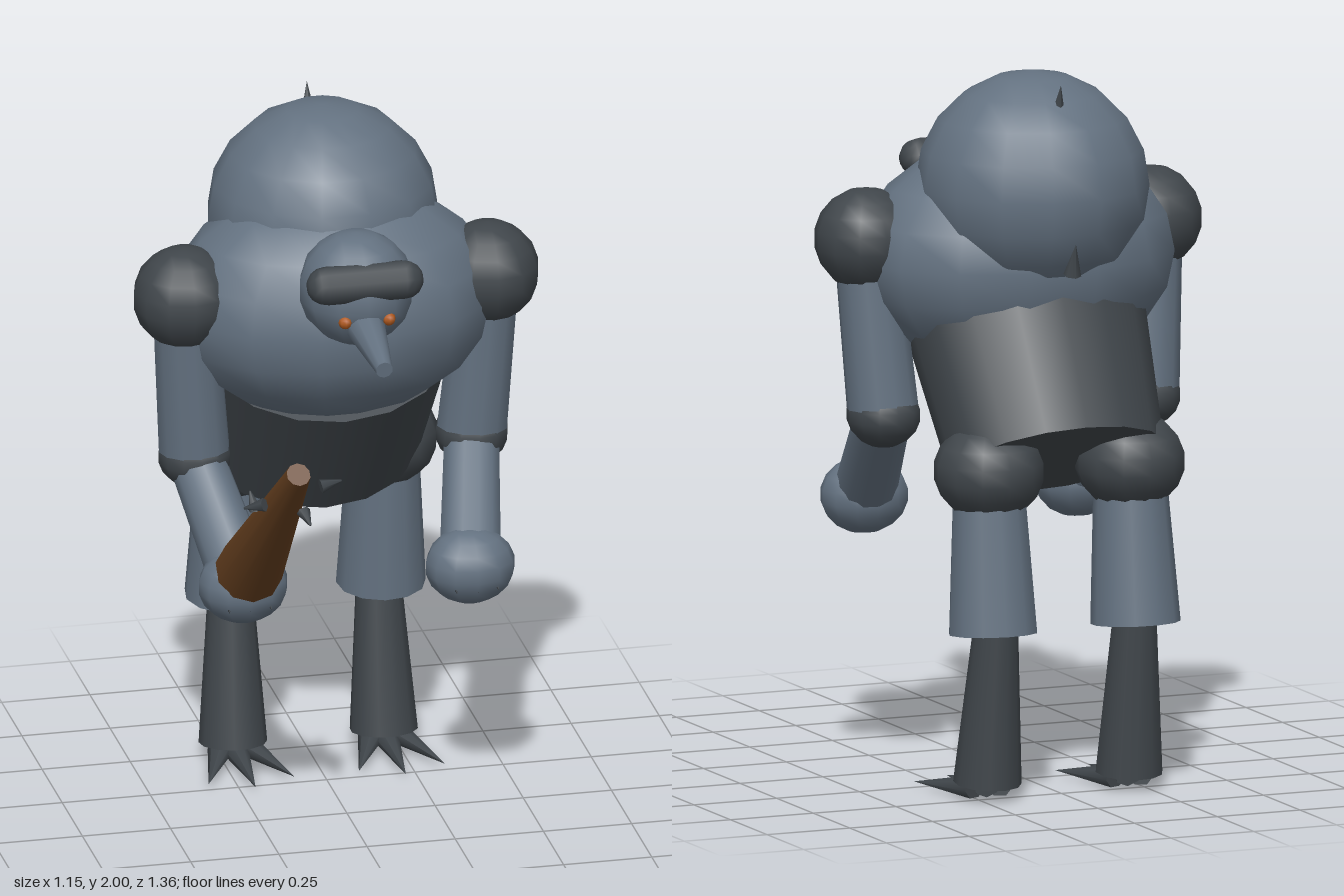
import * as THREE from 'three';

const mat = (name, color) => {
  const m = new THREE.MeshStandardMaterial({ color });
  m.name = name;
  return m;
};
const V = (x, y, z) => new THREE.Vector3(x, y, z);

export function createModel() {
  const group = new THREE.Group();
  const skin = mat('slate skin', 0x647281);
  const dark = mat('dark hide', 0x40464b);
  const wood = mat('brown wood', 0x653f1f);
  const amber = mat('amber eyes', 0xb05a20);

  const add = (name, geo, material) => {
    const mesh = new THREE.Mesh(geo, material);
    mesh.name = name;
    group.add(mesh);
    return mesh;
  };
  // Ellipsoid at a point
  const ball = (name, p, r, material, w = 12, h = 9) => {
    const mesh = add(name, new THREE.SphereGeometry(1, w, h), material);
    mesh.position.copy(p);
    Array.isArray(r) ? mesh.scale.set(...r) : mesh.scale.setScalar(r);
    return mesh;
  };
  // Tapered cylinder from point a to point b; b radius 0 makes a cone
  const limb = (name, a, b, ra, rb, material, sides = 12) => {
    const mesh = add(name, new THREE.CylinderGeometry(rb, ra, a.distanceTo(b), sides), material);
    mesh.position.copy(a).lerp(b, 0.5);
    mesh.quaternion.setFromUnitVectors(V(0, 1, 0), b.clone().sub(a).normalize());
    return mesh;
  };

  // Body
  ball('hump', V(0, 1.68, -0.302), [0.325, 0.32, 0.32], skin, 14, 10);
  ball('chest', V(0, 1.47, -0.19), [0.46, 0.335, 0.34], skin, 14, 10);
  const pelvis = limb('pelvis', V(0, 0.935, -0.47), V(0, 1.3, -0.254), 0.31, 0.345, dark, 16);
  pelvis.scale.z = 0.79;

  // Spikes on the back
  limb('backSpike', V(0, 1.9, -0.478), V(0, 1.99, -0.497), 0.02, 0, dark, 6);
  limb('backSpike', V(0, 1.47, -0.575), V(0, 1.56, -0.6), 0.025, 0, dark, 6);

  // Head
  ball('head', V(0, 1.62, 0.115), 0.162, skin);
  const brow = add('brow', new THREE.CapsuleGeometry(0.055, 0.22, 4, 10), dark);
  brow.rotation.z = Math.PI / 2;
  brow.position.set(0, 1.675, 0.225);
  limb('nose', V(0, 1.545, 0.23), V(0, 1.51, 0.465), 0.055, 0.024, skin, 10);

  for (const s of [-1, 1]) {
    ball('eye', V(s * 0.062, 1.572, 0.25), 0.019, amber, 8, 6);

    // Arms
    const shoulder = V(s * 0.43, 1.53, -0.135);
    const elbow = V(s * 0.393, 1.04, -0.172);
    const hand = V(s * 0.322, 0.762, 0.12);
    ball('shoulder', shoulder, 0.145, dark);
    limb('upperArm', shoulder, elbow, 0.09, 0.1, skin);
    ball('elbow', elbow, [0.103, 0.092, 0.107], dark);
    limb('forearm', elbow, hand, 0.078, 0.088, skin);
    ball('hand', hand, [0.127, 0.108, 0.108], skin);
    for (const i of [-1, 0, 1])
      limb('fingerNail', V(hand.x + i * 0.055, 0.735, 0.16), V(hand.x + i * 0.06, 0.718, 0.222), 0.012, 0, dark, 5);

    // Legs
    ball('hip', V(s * 0.213, 0.92, -0.485), [0.155, 0.14, 0.155], dark);
    limb('thigh', V(s * 0.213, 0.9, -0.485), V(s * 0.215, 0.47, -0.52), 0.1, 0.125, skin);
    limb('shin', V(s * 0.21, 0.48, -0.525), V(s * 0.214, 0.045, -0.478), 0.063, 0.095, dark);

    // Clawed toes
    for (const i of [-1, 0, 1]) {
      const toe = limb('toe', V(s * 0.213 + i * 0.035, 0.033, -0.47),
        V(s * 0.213 + i * 0.122, 0.018, i ? -0.25 : -0.2), 0.04, 0, dark, 7);
      toe.scale.z = 0.8;
    }
  }

  // Club held in the right hand, ringed with spikes
  limb('club', V(-0.316, 0.82, 0.165), V(-0.287, 1.3, 0.656), 0.095, 0.034, wood, 10);
  const spikes = [
    [V(-0.2, 1.215, 0.55), V(-0.14, 1.225, 0.545)],
    [V(-0.365, 1.185, 0.575), V(-0.415, 1.165, 0.54)],
    [V(-0.37, 1.135, 0.485), V(-0.385, 1.19, 0.48)],
    [V(-0.264, 1.165, 0.455), V(-0.264, 1.21, 0.425)],
    [V(-0.255, 1.155, 0.575), V(-0.245, 1.13, 0.62)],
  ];
  for (const [a, b] of spikes) limb('clubSpike', a, b, 0.02, 0.003, dark, 6);

  return group;
}
